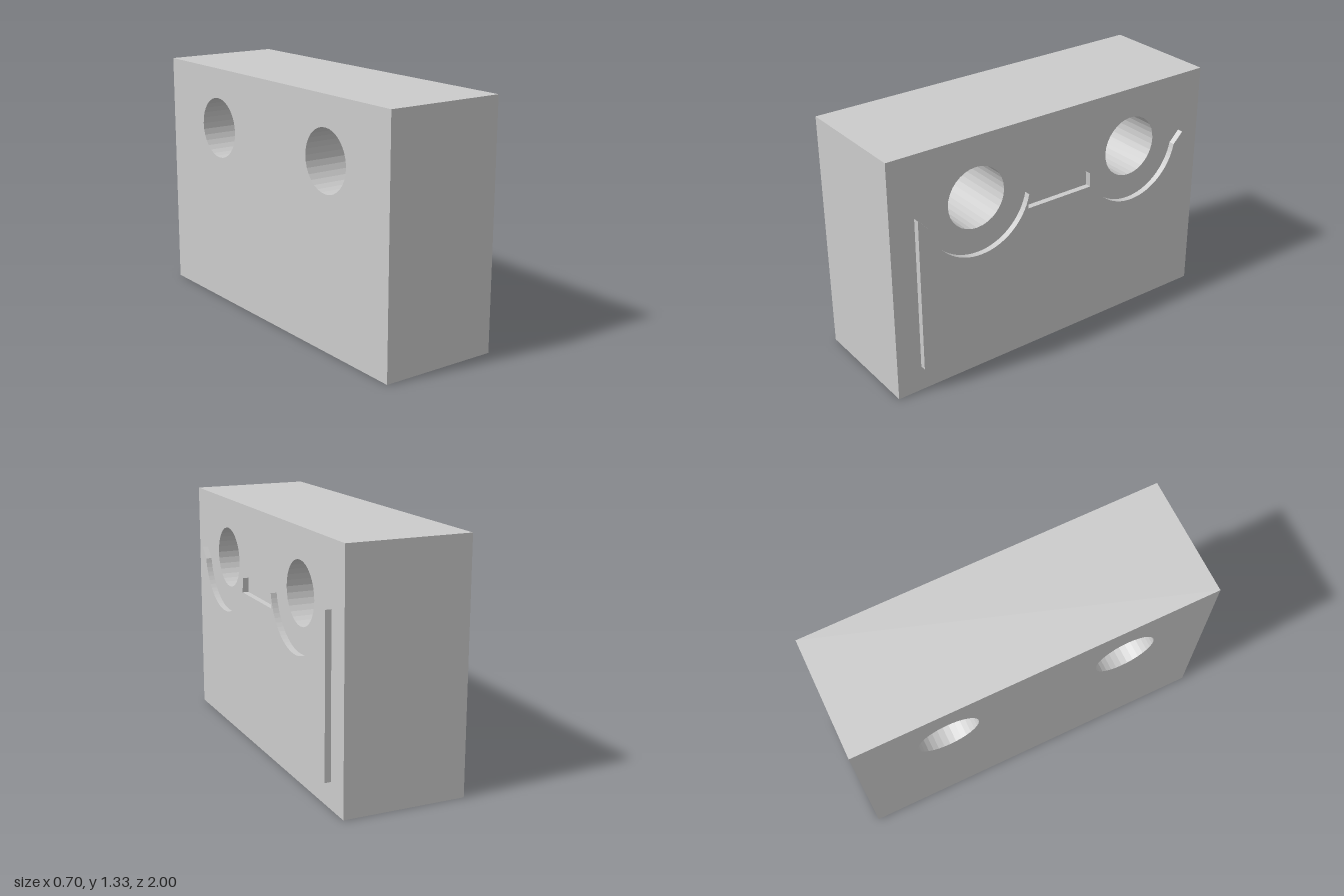
import * as THREE from 'three';

const material = new THREE.MeshStandardMaterial({ color: 0xcccccc, flatShading: true });

const HOLE_Z = 0.5, HOLE_Y = 1.0;

// Extrude a side profile (drawn in z and y) along x, from x0 to x1
function sidePart(name, shape, x0, x1) {
  const geometry = new THREE.ExtrudeGeometry(shape, {
    depth: x1 - x0, bevelEnabled: false, curveSegments: 16,
  });
  geometry.rotateY(Math.PI / 2);
  geometry.translate(x0, 0, 0);
  const mesh = new THREE.Mesh(geometry, material);
  mesh.name = name;
  return mesh;
}

// Solid block with two round through-holes
function blockShape() {
  const shape = new THREE.Shape();
  shape.moveTo(-1, 0).lineTo(1, 0).lineTo(1, 1.333).lineTo(-1, 1.333).closePath();
  for (const side of [-1, 1]) {
    const hole = new THREE.Path();
    hole.absarc(side * HOLE_Z, HOLE_Y, 0.168, 0, Math.PI * 2, true);
    shape.holes.push(hole);
  }
  return shape;
}

// Raised plate whose top edge is scooped out around each hole
function plateShape() {
  const radius = 0.307, tilt = Math.asin(0.06 / radius);
  const shape = new THREE.Shape();
  shape.moveTo(-0.86, 0.143);
  shape.lineTo(-0.86, 1.0);
  shape.absarc(-HOLE_Z, HOLE_Y, radius, Math.PI + tilt, 2 * Math.PI - tilt, false);
  shape.lineTo(-0.205, 0.86);
  shape.lineTo(0.205, 0.86);
  shape.absarc(HOLE_Z, HOLE_Y, radius, Math.PI + tilt, 2 * Math.PI - tilt, false);
  shape.lineTo(0.86, 1.0);
  shape.lineTo(0.86, 0.143);
  return shape;
}

export function createModel() {
  const group = new THREE.Group();
  group.name = 'drilledBlock';
  group.add(sidePart('block', blockShape(), -0.35, 0.315));
  group.add(sidePart('raisedPlate', plateShape(), 0.315, 0.348));
  return group;
}
